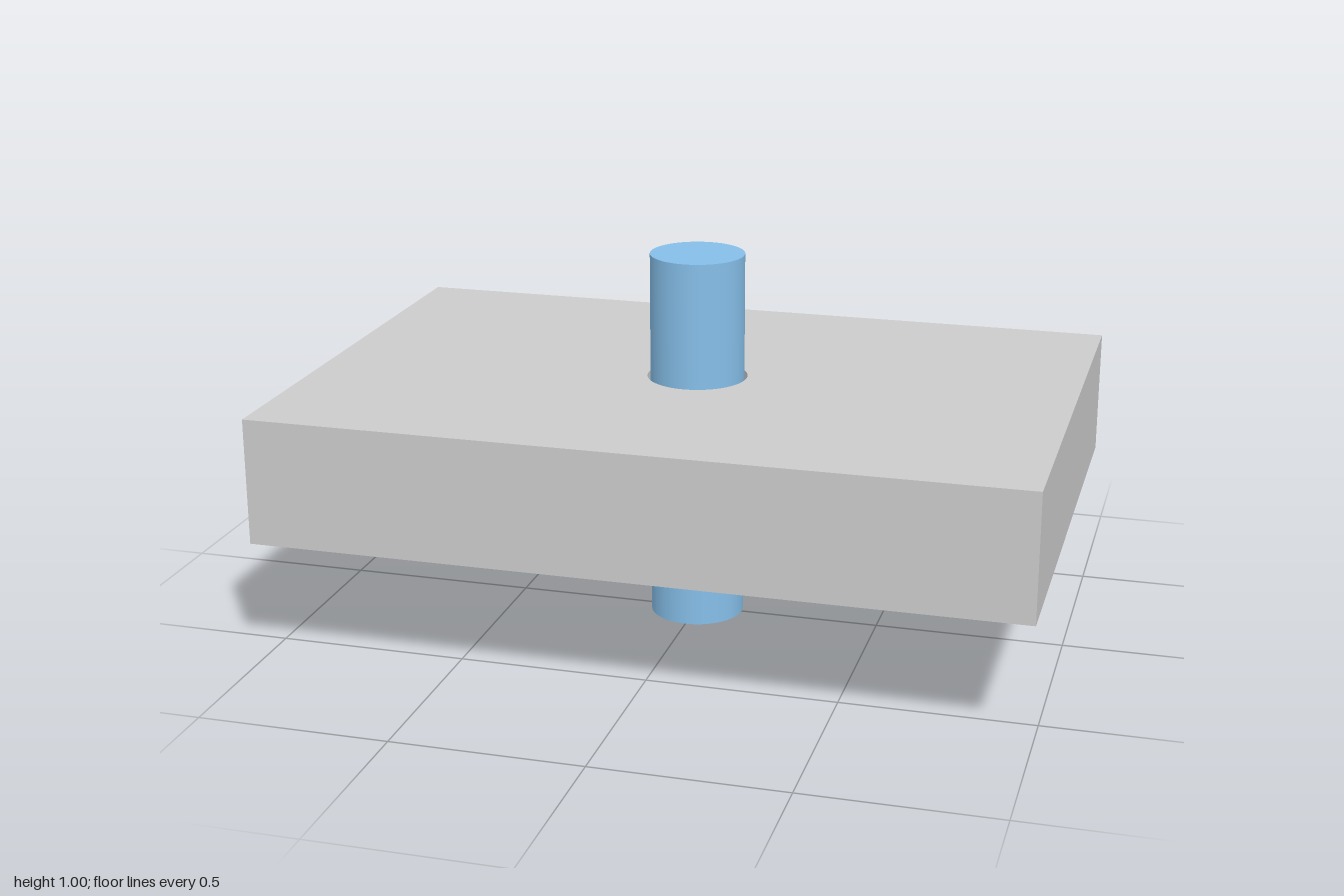
import * as THREE from 'three';

const PLATE = { width: 2, depth: 4 / 3, height: 1 / 3, bottom: 1 / 3 };
const PIN_RADIUS = 0.125;
const HOLE_RADIUS = 0.133;

export function createModel() {
  const group = new THREE.Group();

  // Rectangular plate with a round clearance hole through its centre
  const { width: w, depth: d, height, bottom } = PLATE;
  const outline = new THREE.Shape([
    new THREE.Vector2(-w / 2, -d / 2),
    new THREE.Vector2(w / 2, -d / 2),
    new THREE.Vector2(w / 2, d / 2),
    new THREE.Vector2(-w / 2, d / 2),
  ]);
  outline.holes.push(new THREE.Path().absarc(0, 0, HOLE_RADIUS, 0, Math.PI * 2, true));
  const plateGeometry = new THREE.ExtrudeGeometry(outline, {
    depth: height,
    bevelEnabled: false,
    curveSegments: 64,
  });
  plateGeometry.rotateX(-Math.PI / 2);
  const plate = new THREE.Mesh(plateGeometry, new THREE.MeshStandardMaterial({ color: 0xcccccc }));
  plate.name = 'plate';
  plate.position.y = bottom;
  group.add(plate);

  // Pin standing loose in the hole
  const pin = new THREE.Mesh(
    new THREE.CylinderGeometry(PIN_RADIUS, PIN_RADIUS, 1, 64),
    new THREE.MeshStandardMaterial({ color: 0x85bee8 }),
  );
  pin.name = 'pin';
  pin.position.y = 0.5;
  group.add(pin);

  return group;
}
